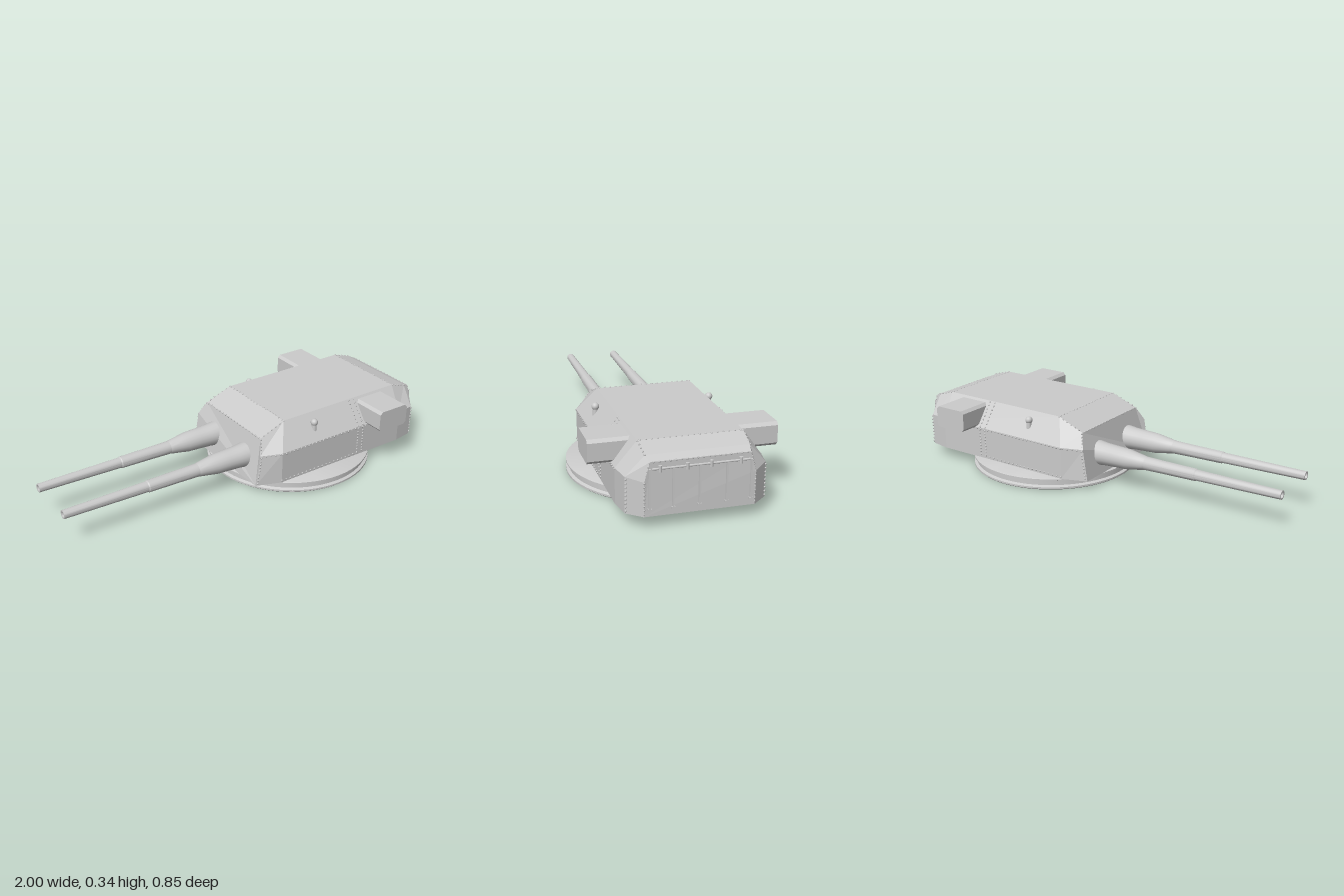
import * as THREE from 'three';
import { mergeGeometries, toCreasedNormals } from 'three/addons/utils/BufferGeometryUtils.js';

const grey = new THREE.MeshStandardMaterial({ color: 0xcccccc });
const flat = new THREE.MeshStandardMaterial({ color: 0xcccccc, flatShading: true });

function add(parent, name, geometry, material = grey, x = 0, y = 0, z = 0) {
  const mesh = new THREE.Mesh(geometry, material);
  mesh.name = name;
  mesh.position.set(x, y, z);
  parent.add(mesh);
  return mesh;
}

const lathe = (pts, seg) => toCreasedNormals(
  new THREE.LatheGeometry(pts.map(p => new THREE.Vector2(...p)), seg), 0.5);

// Armoured house: six-cornered sections lofted from the gun face to the rear.
// [x at bottom, x at shoulder, x at roof, half width, shoulder y, roof half width, roof y]
const SECTIONS = [
  [-0.055, -0.03, 0.0, 0.275, 0.215, 0.235, 0.285],
  [0.07, 0.07, 0.14, 0.322, 0.22, 0.232, 0.34],
  [0.83, 0.83, 0.85, 0.322, 0.22, 0.232, 0.34],
  [0.93, 0.93, 0.945, 0.306, 0.22, 0.225, 0.312],
  [0.986, 0.986, 0.983, 0.24, 0.21, 0.215, 0.295],
];
const BOTTOM = 0.058;

function houseGeometry() {
  const rings = SECTIONS.map(([xb, xs, xt, w, ys, wt, yt]) => [
    [xb, BOTTOM, w], [xs, ys, w], [xt, yt, wt], [xt, yt, -wt], [xs, ys, -w], [xb, BOTTOM, -w],
  ]);
  const pos = [];
  const tri = (...corners) => corners.forEach(c => pos.push(...c));
  for (let i = 0; i < rings.length - 1; i++) {
    for (let j = 0; j < 6; j++) {
      const k = (j + 1) % 6, a = rings[i], b = rings[i + 1];
      tri(a[j], b[j], b[k]);
      tri(a[j], b[k], a[k]);
    }
  }
  const first = rings[0], last = rings[rings.length - 1];
  for (let j = 1; j < 5; j++) {
    tri(first[0], first[j], first[j + 1]);
    tri(last[0], last[j + 1], last[j]);
  }
  const g = new THREE.BufferGeometry();
  g.setAttribute('position', new THREE.Float32BufferAttribute(pos, 3));
  g.computeVertexNormals();
  return g;
}

// Rows of rivet heads along the plate seams
function rivetGeometry() {
  const heads = [];
  const row = (a, b, n) => {
    for (let i = 0; i < n; i++) {
      const t = n > 1 ? i / (n - 1) : 0;
      const p = a.map((v, k) => v + (b[k] - v) * t);
      heads.push(new THREE.SphereGeometry(0.0048, 6, 4).translate(...p));
    }
  };
  for (const s of [1, -1]) {
    row([0.07, 0.215, s * 0.323], [0.83, 0.215, s * 0.323], 34);    // shoulder seam
    row([-0.025, 0.21, s * 0.278], [0.06, 0.215, s * 0.318], 5);
    row([0.07, 0.07, s * 0.323], [0.55, 0.07, s * 0.323], 20);      // lower edge
    row([-0.045, 0.07, s * 0.28], [-0.025, 0.205, s * 0.28], 9);    // front corner
    row([-0.02, 0.225, s * 0.268], [0.0, 0.28, s * 0.24], 5);
    row([0.02, 0.295, s * 0.234], [0.14, 0.338, s * 0.232], 6);
    for (const x of [0.55, 0.582]) {                                // joint seam
      row([x, 0.075, s * 0.323], [x, 0.21, s * 0.323], 9);
      row([x, 0.225, s * 0.319], [x, 0.335, s * 0.236], 8);
    }
    row([0.935, 0.07, s * 0.304], [0.935, 0.21, s * 0.304], 9);     // rear corners
    row([0.984, 0.07, s * 0.239], [0.984, 0.205, s * 0.239], 9);
    row([0.98, 0.22, s * 0.237], [0.98, 0.29, s * 0.217], 5);
    row([0.855, 0.338, s * 0.232], [0.945, 0.312, s * 0.226], 5);
  }
  row([0.14, 0.34, -0.22], [0.14, 0.34, 0.22], 18);                 // roof edges
  row([0.85, 0.34, -0.22], [0.85, 0.34, 0.22], 18);
  row([0.0, 0.284, -0.22], [0.0, 0.284, 0.22], 18);
  row([0.983, 0.294, -0.2], [0.983, 0.294, 0.2], 18);
  return mergeGeometries(heads);
}

// Long stepped barrel with a swollen sleeve and an open bore
function buildGun(z) {
  const gun = new THREE.Group();
  gun.name = z > 0 ? 'gunLeft' : 'gunRight';
  gun.position.set(0, 0.157, z);
  gun.rotation.z = Math.PI / 2 - 0.013;
  add(gun, 'barrel', lathe([
    [0.033, 0.1], [0.033, 0.3], [0.031, 0.4], [0.029, 0.57], [0.026, 0.575], [0.021, 0.985],
    [0.021, 1.0], [0.014, 1.0], [0.013, 0.9], [0, 0.9],
  ], 20));
  add(gun, 'sleeve', lathe([
    [0.062, -0.03], [0.061, 0.03], [0.056, 0.07], [0.053, 0.13], [0.05, 0.2], [0.043, 0.24],
    [0.036, 0.285], [0.033, 0.3],
  ], 20));
  return gun;
}

export function createModel() {
  const model = new THREE.Group();
  model.name = 'gunTurret';

  // Round base with a groove around its rim
  add(model, 'baseRing', lathe([
    [0, 0], [0.42, 0], [0.426, 0.005], [0.426, 0.014], [0.412, 0.02], [0.412, 0.043],
    [0.426, 0.049], [0.426, 0.056], [0.42, 0.059], [0, 0.059],
  ], 64), grey, 0.35);

  add(model, 'house', houseGeometry(), flat);
  add(model, 'rivets', rivetGeometry());

  for (const s of [1, -1]) model.add(buildGun(s * 0.132));

  // Rangefinder arm running across the house, with clipped corners
  const x0 = 0.598, x1 = 0.776, y0 = 0.22, y1 = 0.329, c = 0.014;
  const outline = new THREE.Shape([
    [x0 + c, y0], [x1 - c, y0], [x1, y0 + c], [x1, y1 - c],
    [x1 - c, y1], [x0 + c, y1], [x0, y1 - c], [x0, y0 + c],
  ].map(p => new THREE.Vector2(...p)));
  add(model, 'rangefinder',
    new THREE.ExtrudeGeometry(outline, { depth: 0.85, bevelEnabled: false }), flat, 0, 0, -0.425);

  // Periscope heads on the sloping shoulders
  for (const s of [1, -1]) {
    const scope = new THREE.Group();
    scope.name = s > 0 ? 'periscopeLeft' : 'periscopeRight';
    scope.position.set(0.295, 0, s * 0.278);
    add(scope, 'stem', new THREE.CylinderGeometry(0.012, 0.014, 0.05, 12), grey, 0, 0.282, 0);
    add(scope, 'hood', new THREE.SphereGeometry(0.018, 14, 10), grey, 0, 0.305, 0);
    model.add(scope);
  }

  // Upright ribs, rail and hooks on the rear plate
  const rear = new THREE.Group();
  rear.name = 'rearFittings';
  for (const z of [0.218, 0.118, 0.005, -0.112, -0.218]) {
    add(rear, 'rib', new THREE.BoxGeometry(0.014, 0.18, 0.008), grey, 0.988, 0.177, z);
    add(rear, 'ribFoot', new THREE.BoxGeometry(0.016, 0.01, 0.016), grey, 0.988, 0.09, z);
  }
  const rail = add(rear, 'rail', new THREE.CylinderGeometry(0.005, 0.005, 0.42, 8), grey, 0.99, 0.266, 0);
  rail.rotation.x = Math.PI / 2;
  for (const z of [0.175, 0.06, -0.042, -0.17]) {
    add(rear, 'hook', new THREE.CylinderGeometry(0.008, 0.008, 0.028, 8), grey, 0.991, 0.266, z);
  }
  model.add(rear);

  return model;
}
